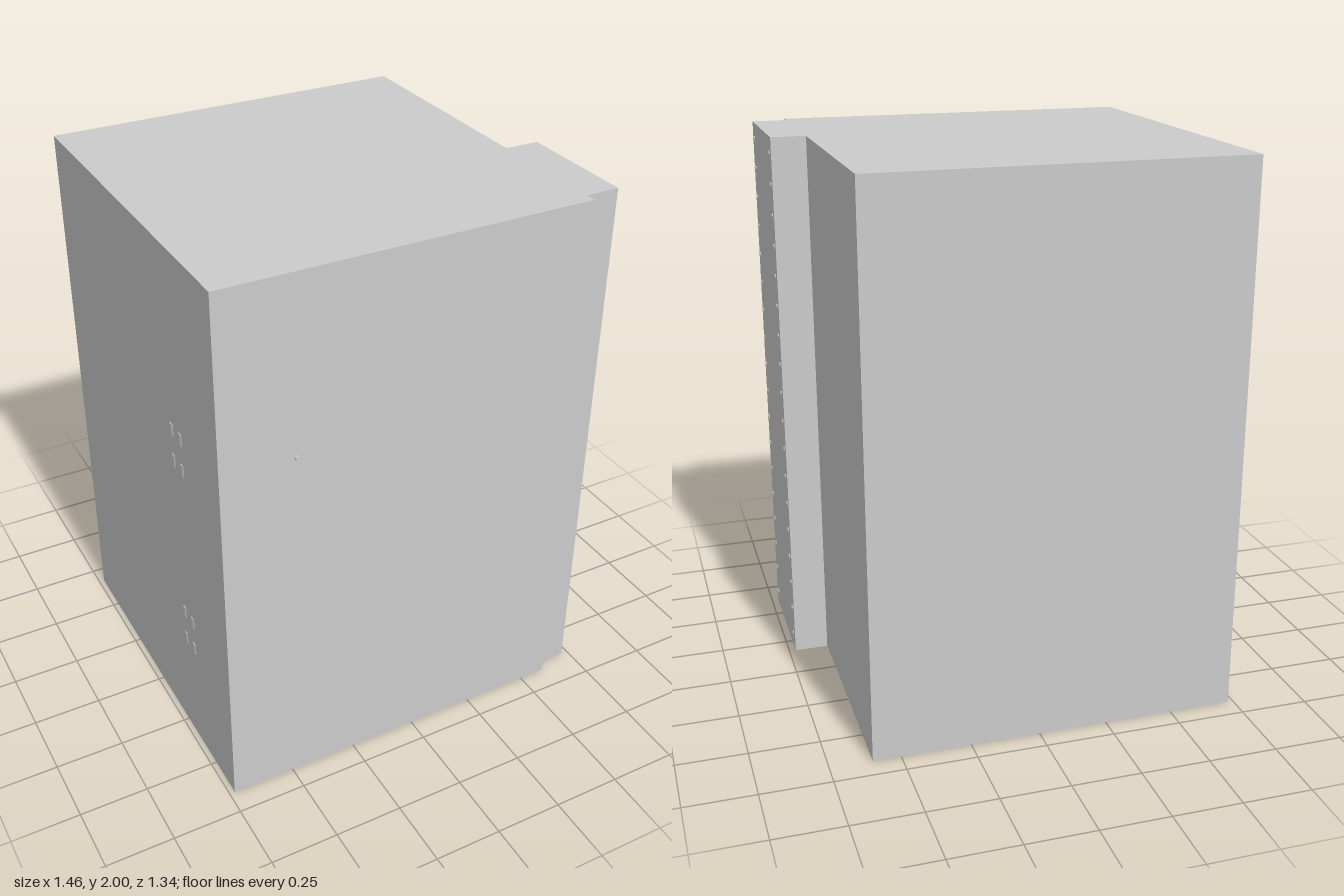
import * as THREE from 'three';

export function createModel() {
  const model = new THREE.Group();
  const grey = new THREE.MeshStandardMaterial({ color: 0xcccccc });
  const sheet = new THREE.MeshStandardMaterial({ color: 0xcccccc, side: THREE.DoubleSide });
  const H = 2;

  const add = (name, geometry, x = 0, y = 0, z = 0, material = grey) => {
    const mesh = new THREE.Mesh(geometry, material);
    mesh.name = name;
    mesh.position.set(x, y, z);
    model.add(mesh);
    return mesh;
  };
  const box = (name, w, h, d, x, y, z) => add(name, new THREE.BoxGeometry(w, h, d), x, y, z);
  const pipe = (name, r, h, x, y, z) => add(name, new THREE.CylinderGeometry(r, r, h, 12), x, y, z);

  // Floor plan as [x, z]: a square room with a shallow bay on its left side
  const plan = [
    [-0.73, 0.66], [0.6, 0.66], [0.6, 0.62], [0.725, 0.62],
    [0.725, 0.17], [0.6, 0.17], [0.6, -0.67], [-0.73, -0.67],
  ];

  // Thin walls, open underneath
  plan.forEach(([x0, z0], i) => {
    const [x1, z1] = plan[(i + 1) % plan.length];
    const wall = add('wall', new THREE.PlaneGeometry(Math.hypot(x1 - x0, z1 - z0), H),
      (x0 + x1) / 2, H / 2, (z0 + z1) / 2, sheet);
    wall.rotation.y = Math.atan2(z0 - z1, x1 - x0);
  });

  // Roof
  const roof = new THREE.Shape(plan.map(([x, z]) => new THREE.Vector2(x, z)));
  add('roof', new THREE.ShapeGeometry(roof).rotateX(Math.PI / 2), 0, H, 0, sheet);

  // Two rows of rivets on the bay
  const rivet = new THREE.SphereGeometry(0.011, 10, 5, 0, Math.PI * 2, 0, Math.PI / 2);
  rivet.scale(1, 0.6, 1).rotateZ(-Math.PI / 2);
  for (const z of [0.585, 0.205]) {
    for (let i = 0; i < 18; i++) add('rivet', rivet, 0.724, 0.06 + i * 0.1106, z);
  }

  // Channel posts halfway along the side walls
  for (const s of [-1, 1]) {
    const wallX = s < 0 ? -0.73 : 0.6;
    box('postWeb', 0.006, 1.99, 0.05, wallX - s * 0.03, 0.997, 0.03);
    for (const z of [-0.008, 0.068]) {
      box('postFlange', 0.006, 1.99, 0.012, wallX - s * 0.004, 0.997, z);
    }
    for (const z of [0.005, 0.055]) {
      box('postSide', 0.03, 1.99, 0.005, wallX - s * 0.016, 0.997, z);
    }
  }

  // Twin riser pipes with couplings
  for (const z of [0.29, 0.36]) {
    pipe('riserPipe', 0.016, 1.98, -0.711, 0.99, z);
    for (const y of [0.44, 0.56, 1.21, 1.33]) {
      pipe('pipeCoupling', 0.023, 0.045, -0.711, y, z);
    }
  }

  // Front wall conduit, and a drop pipe turning into the wall
  pipe('conduit', 0.011, 1.98, 0.04, 0.99, 0.645);
  const drop = new THREE.CurvePath();
  const p = (y, z) => new THREE.Vector3(-0.33, y, z);
  drop.add(new THREE.LineCurve3(p(1.98, 0.6), p(0.5, 0.6)));
  drop.add(new THREE.QuadraticBezierCurve3(p(0.5, 0.6), p(0.45, 0.6), p(0.45, 0.65)));
  add('dropPipe', new THREE.TubeGeometry(drop, 60, 0.016, 10, false), 0, 0, 0, sheet);

  // Small stub through the front wall
  pipe('wallStub', 0.009, 0.03, -0.463, 1.357, 0.657).rotation.x = Math.PI / 2;

  // Low brackets inside the walls
  box('sideBracket', 0.04, 0.06, 0.1, 0.575, 0.035, -0.27);
  for (const x of [0.25, -0.35]) box('backBracket', 0.06, 0.04, 0.02, x, 0.025, -0.656);

  return model;
}
